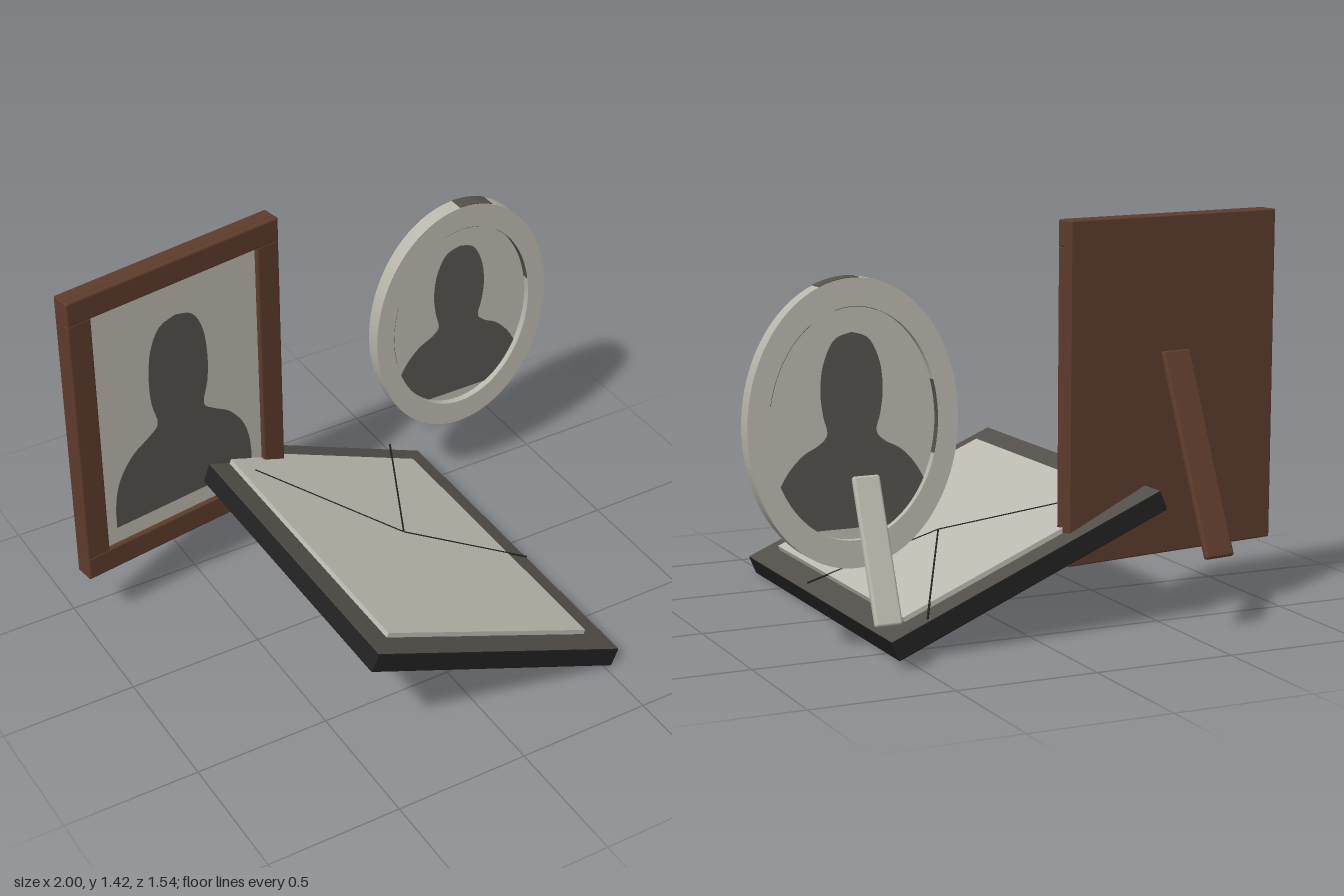
import * as THREE from 'three';
import { RoundedBoxGeometry } from 'three/addons/geometries/RoundedBoxGeometry.js';

const mat = (name, color) => {
  const m = new THREE.MeshStandardMaterial({ color });
  m.name = name;
  return m;
};

export function createModel() {
  const wood = mat('walnut wood', 0x5e3c2c);
  const silver = mat('pale silver', 0xbab7ac);
  const paper = mat('photo paper', 0xbdbab0);
  const shade = mat('silhouette grey', 0x56534d);
  const grey = mat('charcoal grey', 0x534f4a);
  const black = mat('black lacquer', 0x212121);
  const model = new THREE.Group();

  const add = (parent, name, geo, material, x = 0, y = 0, z = 0) => {
    const m = new THREE.Mesh(geo, material);
    m.name = name;
    m.position.set(x, y, z);
    parent.add(m);
    return m;
  };
  const group = (name, x, y, z) => {
    const g = new THREE.Group();
    g.name = name;
    g.position.set(x, y, z);
    model.add(g);
    return g;
  };
  const rbox = (w, h, d, r = 0.01) => new RoundedBoxGeometry(w, h, d, 2, r);
  const extrude = (shape, depth, curveSegments = 48) => {
    const g = new THREE.ExtrudeGeometry(shape, { depth, bevelEnabled: false, curveSegments });
    return g.translate(0, 0, -depth / 2);
  };
  // Mirrored bust: smooth half outline from crown to shoulder, then straight lower points
  const bust = (curvePts, lowerPts) => {
    const curve = new THREE.SplineCurve(curvePts.map(p => new THREE.Vector2(...p)));
    const half = curve.getPoints(40).concat(lowerPts.map(p => new THREE.Vector2(...p)));
    const mirror = half.slice(1).reverse().map(p => new THREE.Vector2(-p.x, p.y));
    return new THREE.Shape(half.concat(mirror).reverse());
  };

  // Standing wooden frame, turned slightly: front rails on a thick back board
  const W = 0.885, H = 1.18, R = 0.095;
  const wooden = group('woodenFrame', -0.557, 0.83, -0.449);
  wooden.rotation.y = 0.15;
  for (const s of [-1, 1]) {
    add(wooden, 'woodenRail', rbox(W, R, 0.028, 0.008), wood, 0, s * (H - R) / 2, 0.0245);
    add(wooden, 'woodenStile', rbox(R, H - 2 * R + 0.01, 0.027, 0.008), wood, s * (W - R) / 2, 0, 0.0245);
  }
  add(wooden, 'woodenBackBoard', rbox(W - 0.002, H - 0.002, 0.05, 0.006), wood, 0, 0, -0.0125);
  add(wooden, 'portraitPhoto', new THREE.BoxGeometry(W - 2 * R + 0.01, H - 2 * R + 0.01, 0.01), paper, 0, 0, 0.016);
  add(wooden, 'portraitSilhouette', extrude(bust(
    [[0, 0.36], [0.07, 0.335], [0.113, 0.25], [0.126, 0.13], [0.12, 0.03], [0.1, -0.06],
      [0.14, -0.1], [0.21, -0.145], [0.265, -0.215], [0.292, -0.29], [0.301, -0.37]],
    [[0.301, -0.43]]), 0.004), shade, 0, 0, 0.0205);
  add(wooden, 'woodenStand', rbox(0.12, 0.73, 0.025), wood, 0, -0.22, -0.169).rotation.x = 0.36;

  // Oval silver frame, open at the back so the picture shows on both sides
  const RX = 0.37, RY = 0.48, IX = 0.297, IY = 0.387, D = 0.06;
  const oval = group('ovalFrame', 0.63, 0.78, -0.461);
  const ring = new THREE.Shape().absellipse(0, 0, RX, RY, 0, Math.PI * 2);
  ring.holes.push(new THREE.Path().absellipse(0, 0, IX, IY, 0, Math.PI * 2));
  add(oval, 'ovalRing', extrude(ring, D), silver);
  const disc = new THREE.Shape().absellipse(0, 0, IX + 0.003, IY + 0.003, 0, Math.PI * 2);
  add(oval, 'ovalPhoto', extrude(disc, 0.008), silver);
  const edge = [];
  for (let i = 1; i <= 12; i++) {
    const y = -0.2 - 0.15 * i / 12;
    edge.push([IX * Math.sqrt(1 - (y / IY) ** 2), y]);
  }
  add(oval, 'ovalSilhouette', extrude(bust(
    [[0, 0.3], [0.06, 0.277], [0.098, 0.2], [0.109, 0.11], [0.1, 0.03], [0.086, -0.03],
      [0.115, -0.065], [0.17, -0.095], [0.22, -0.145], [0.254, -0.2]],
    edge), 0.014), shade);
  // Tarnish on the crown of the rim and on the inner wall
  const tarnish = (rx, ry, from, to) => {
    const s = new THREE.Shape();
    s.absellipse(0, 0, rx + 0.002, ry + 0.002, from, to);
    s.absellipse(0, 0, rx - 0.002, ry - 0.002, to, from, true);
    add(oval, 'rimTarnish', extrude(s, D - 0.002, 24), shade);
  };
  tarnish(RX, RY, 1.24, 1.62);
  for (const [from, to] of [[0.2, 1.05], [1.35, 1.85], [2.8, 3.45]]) tarnish(IX, IY, from, to);
  add(model, 'ovalStand', rbox(0.095, 0.495, 0.025), silver, 0.628, 0.395, -0.667).rotation.x = 0.39;

  // Fallen frame, tilted down to the right: grey faces, black outer edges and back
  const L = 1.085, T = 0.075, Z = 1.38, F = 0.097;
  const fallen = group('fallenFrame', 0.041, 0.2455, 0.08);
  fallen.rotation.z = -0.4;
  for (const s of [-1, 1]) {
    // Material order: +x, -x, top, bottom, +z, -z
    add(fallen, 'fallenEndRail', rbox(L, T, F, 0.005),
      [black, black, grey, black, s > 0 ? black : grey, s > 0 ? grey : black], 0, 0, s * (Z - F) / 2);
    add(fallen, 'fallenSideRail', rbox(F, T - 0.001, Z - 2 * F + 0.01, 0.005),
      [s > 0 ? black : grey, s > 0 ? grey : black, grey, black, black, black], s * (L - F) / 2, 0, 0);
  }
  add(fallen, 'fallenBackBoard', new THREE.BoxGeometry(L - 0.02, 0.03, Z - 0.02), black, 0, -0.021, 0);
  // Photo and glass stand slightly proud of the rails
  add(fallen, 'fallenPhoto', new THREE.BoxGeometry(L - 2 * F, 0.053, Z - 2 * F), paper, 0, 0.0265, 0);

  // Three cracks spreading from one point on the glass
  const hub = [0.042, -0.05];
  for (const [x, z] of [[-0.38, -0.465], [0.4, -0.7], [0.52, 0.11]]) {
    const dx = x - hub[0], dz = z - hub[1];
    const crack = add(fallen, 'glassCrack', new THREE.BoxGeometry(Math.hypot(dx, dz), 0.005, 0.006), black,
      (x + hub[0]) / 2, 0.0525, (z + hub[1]) / 2);
    crack.rotation.y = Math.atan2(-dz, dx);
  }
  return model;
}
